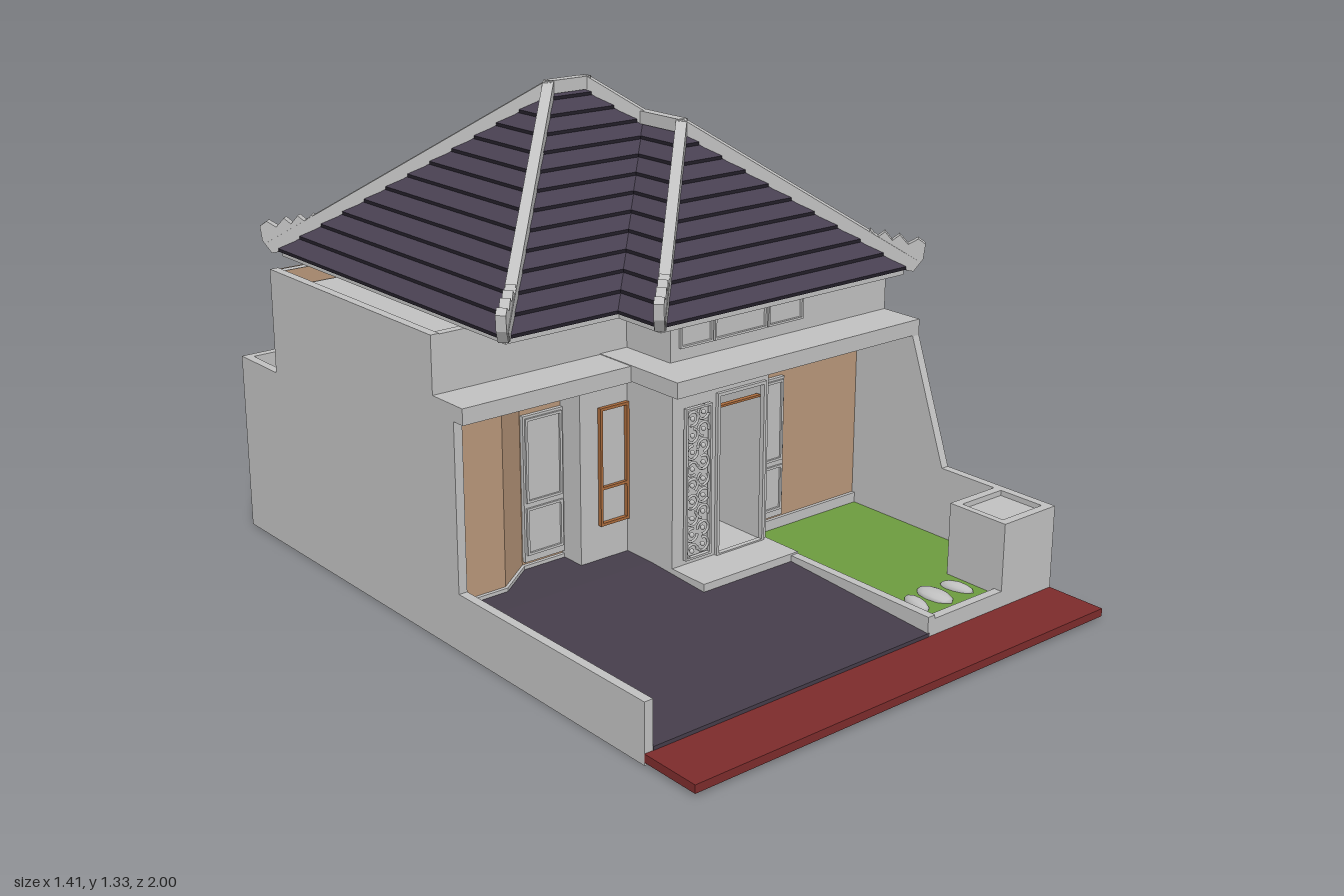
import * as THREE from 'three';

const mat = (name, color, double) => {
  const m = new THREE.MeshStandardMaterial({ color });
  m.name = name;
  if (double) m.side = THREE.DoubleSide;
  return m;
};

export function createModel() {
  const house = new THREE.Group();
  house.name = 'house';
  const white = mat('pale grey plaster', 0xc0c0c0), tan = mat('tan paint', 0xb8977a);
  const tile = mat('roof tile', 0x484051, true), tileEdge = mat('tile edge', 0x221e28, true);
  const floor = mat('dark paving', 0x453d4a), red = mat('red paving', 0x7c2b2b);
  const green = mat('lawn', 0x6c9a3e), pale = mat('back lawn', 0xa3b666);
  const wood = mat('wood', 0xa86a3c), dark = mat('dark plastic', 0x45484a, true);

  const add = (name, geo, m, parent = house) => {
    const mesh = new THREE.Mesh(geo, m);
    mesh.name = name;
    parent.add(mesh);
    return mesh;
  };
  // box from min and max corners
  const box = (name, m, x0, x1, y0, y1, z0, z1, parent) => {
    const g = new THREE.BoxGeometry(x1 - x0, y1 - y0, z1 - z0);
    g.translate((x0 + x1) / 2, (y0 + y1) / 2, (z0 + z1) / 2);
    return add(name, g, m, parent);
  };
  const shapeOf = (pts) => new THREE.Shape(pts.map(([a, b]) => new THREE.Vector2(a, b)));
  const flip = (pts) => pts.map(([x, z]) => [x, -z]);
  // floor plan [x, z] raised from y0 to y1
  const plan = (name, m, pts, y0, y1, hole) => {
    const s = shapeOf(flip(pts));
    if (hole) s.holes.push(shapeOf(flip(hole)));
    const g = new THREE.ExtrudeGeometry(s, { depth: y1 - y0, bevelEnabled: false });
    g.rotateX(-Math.PI / 2).translate(0, y0, 0);
    return add(name, g, m);
  };
  // side profile [z, y] with its outer right face at x1
  const side = (name, m, pts, x1, width) => {
    const g = new THREE.ExtrudeGeometry(shapeOf(pts), { depth: width, bevelEnabled: false });
    g.rotateY(-Math.PI / 2).translate(x1, 0, 0);
    return add(name, g, m);
  };
  // four thin bars round a rectangle facing z
  const frame = (name, m, x0, x1, y0, y1, z, w = 0.01, d = 0.012) => {
    box(name, m, x0, x0 + w, y0, y1, z, z + d);
    box(name, m, x1 - w, x1, y0, y1, z, z + d);
    box(name, m, x0 + w, x1 - w, y0, y0 + w, z, z + d);
    box(name, m, x0 + w, x1 - w, y1 - w, y1, z, z + d);
  };

  // ground and yard
  box('baseSlab', white, -0.705, 0.705, 0, 0.035, -1, 0.825);
  box('redKerb', red, -0.705, 0.705, 0.008, 0.03, 0.825, 1);
  side('carportFloor', floor, [[-0.1, 0.03], [0.826, 0.03], [0.826, 0.04], [0.1, 0.08], [-0.1, 0.08]], 0.23, 0.91);
  box('porch', white, -0.09, 0.25, 0.03, 0.09, -0.16, 0.32);
  box('backLawn', pale, -0.68, 0.68, 0.035, 0.06, -0.975, -0.8);

  // boundary walls
  side('rightWall', white, [[-1, 0], [0.825, 0], [0.825, 0.265], [0.445, 0.265], [0.315, 0.62], [0.315, 0.665],
    [0.18, 0.665], [0.18, 0.82], [-0.785, 0.82], [-0.785, 0.52], [-1, 0.52]], 0.705, 0.025);
  side('leftWall', white, [[-1, 0], [0.825, 0], [0.825, 0.16], [0.09, 0.16], [0.09, 0.64], [0, 0.64],
    [0, 0.82], [-0.8, 0.82], [-0.8, 0.52], [-1, 0.52]], -0.68, 0.025);
  box('backWall', white, -0.68, 0.68, 0, 0.52, -1, -0.975);

  // front garden
  box('gardenLawn', green, 0.25, 0.68, 0.03, 0.06, 0.1, 0.8);
  box('gardenSideKerb', white, 0.225, 0.25, 0.02, 0.085, 0.19, 0.825);
  box('gardenFrontKerb', white, 0.25, 0.53, 0.02, 0.075, 0.8, 0.825);
  box('meterBox', white, 0.525, 0.685, 0.02, 0.25, 0.635, 0.825);
  box('meterBoxRim', white, 0.505, 0.685, 0.25, 0.265, 0.635, 0.66);
  box('meterBoxRim', white, 0.505, 0.525, 0.02, 0.265, 0.635, 0.825);
  box('meterBoxRim', white, 0.525, 0.685, 0.25, 0.265, 0.8, 0.825);
  for (const [x, z, rx, rz] of [[0.3, 0.715, 0.022, 0.05], [0.375, 0.71, 0.033, 0.06], [0.455, 0.715, 0.022, 0.05]]) {
    const stone = add('steppingStone', new THREE.IcosahedronGeometry(1, 1), white);
    stone.scale.set(rx, 0.018, rz);
    stone.position.set(x, 0.06, z);
    stone.rotation.y = (x - 0.375) * 3;
  }

  // ground floor walls, with the doorway cut into the middle block
  plan('middleWalls', white, [[-0.25, -0.79], [0.25, -0.79], [0.25, 0.19], [0.23, 0.19], [0.23, -0.15], [0.02, -0.15],
    [0.02, 0.16], [0.065, 0.16], [0.065, 0.19], [-0.09, 0.19], [-0.09, 0], [-0.25, 0]], 0.035, 0.63);
  plan('leftRoomWalls', tan, [[-0.68, -0.79], [-0.25, -0.79], [-0.25, -0.085], [-0.385, -0.085], [-0.5, 0], [-0.68, 0]], 0.035, 0.63);
  box('rightRoomWalls', tan, 0.25, 0.68, 0.035, 0.63, -0.79, 0.1);
  box('rightPlinth', white, 0.25, 0.68, 0.035, 0.09, 0.09, 0.11);
  plan('leftPlinth', white, [[-0.68, -0.1], [-0.25, -0.1], [-0.25, -0.075], [-0.385, -0.075], [-0.5, 0.01], [-0.68, 0.01]], 0.035, 0.09);
  box('rearWall', tan, -0.68, 0.68, 0.035, 0.815, -0.805, -0.78);

  // upper storey parapet, flat deck and canopies
  const L = (o) => [[-0.705 + o, -0.79 + o], [0.705 - o, -0.79 + o], [0.705 - o, 0.18 - o],
    [-0.09 + o, 0.18 - o], [-0.09 + o, -o], [-0.705 + o, -o]];
  plan('parapet', white, L(0), 0.62, 0.818, L(0.025));
  plan('flatDeck', white, L(0.02), 0.625, 0.77);
  box('leftCanopy', white, -0.705, -0.09, 0.62, 0.664, -0.1, 0.13);
  box('rightCanopy', white, -0.18, 0.705, 0.622, 0.666, 0, 0.315);
  for (const [a, b] of [[-0.06, 0.052], [0.058, 0.245], [0.25, 0.378]]) {
    frame('clerestoryFrame', white, a, b, 0.7, 0.775, 0.18, 0.006, 0.008);
  }

  // front windows and door
  for (const [x, z] of [[-0.383, -0.085], [0.252, 0.1]]) {
    box('windowPanel', white, x, x + 0.131, 0.1, 0.515, z, z + 0.012);
    frame('lowerPane', white, x + 0.006, x + 0.125, 0.12, 0.255, z + 0.012, 0.007, 0.006);
    frame('upperPane', white, x + 0.006, x + 0.125, 0.27, 0.508, z + 0.012, 0.007, 0.006);
  }
  frame('sideWindowFrame', wood, -0.19, -0.092, 0.18, 0.517, 0, 0.008);
  box('sideWindowBar', wood, -0.182, -0.1, 0.283, 0.291, 0, 0.01);
  box('doorLintel', white, 0.065, 0.23, 0.545, 0.63, 0.15, 0.19);
  frame('doorFrame', white, 0.06, 0.235, 0.085, 0.555, 0.185, 0.009, 0.015);
  box('doorTransom', wood, 0.069, 0.226, 0.507, 0.513, 0.17, 0.185);
  box('roomShelf', white, 0.06, 0.18, 0.455, 0.475, -0.15, -0.11);
  box('roomPost', wood, 0.093, 0.099, 0.09, 0.455, -0.15, -0.14);
  box('roomCabinet', white, 0.19, 0.23, 0.09, 0.375, -0.15, -0.05);

  // chair inside the doorway
  const chair = new THREE.Group();
  chair.name = 'chair';
  chair.position.set(0.11, 0.09, 0.06);
  house.add(chair);
  const curve = new THREE.CatmullRomCurve3([[-0.045, 0.078], [-0.02, 0.066], [0.02, 0.07], [0.036, 0.1], [0.045, 0.16]]
    .map(([x, y]) => new THREE.Vector3(x, y, 0)));
  const seat = add('seatShell', new THREE.TubeGeometry(curve, 16, 0.006, 8), dark, chair);
  seat.scale.z = 6;
  for (const sx of [-1, 1]) for (const sz of [-1, 1]) {
    const leg = add('chairLeg', new THREE.CylinderGeometry(0.003, 0.002, 0.07, 6), wood, chair);
    leg.position.set(sx * 0.025, 0.035, sz * 0.022);
    leg.rotation.set(-sz * 0.2, 0, sx * 0.25);
  }

  // carved screen: a frame filled with scrolls
  frame('screenFrame', white, -0.06, 0.03, 0.11, 0.54, 0.2, 0.006, 0.012);
  for (let i = 0; i < 9; i++) for (const s of [-1, 1]) {
    const y = 0.137 + i * 0.047 + s * 0.006;
    const scroll = add('screenScroll', new THREE.TorusGeometry(0.019, 0.004, 5, 16, 5), white);
    scroll.position.set(-0.015 + s * 0.019, y, 0.205);
    scroll.rotation.z = i * 1.3 + (s > 0 ? Math.PI : 0);
    add('screenBud', new THREE.SphereGeometry(0.007, 8, 6), white).position.copy(scroll.position);
  }

  // rear window, door and door canopy
  for (const [a, b] of [[-0.06, 0.092], [0.098, 0.25]]) {
    box('rearPane', white, a, b, 0.69, 0.775, -0.81, -0.805);
    frame('rearWindowFrame', white, a, b, 0.69, 0.775, -0.817, 0.012);
  }
  box('rearDoor', white, -0.12, 0.08, 0.06, 0.46, -0.812, -0.805);
  frame('rearDoorFrame', white, -0.13, 0.09, 0.06, 0.47, -0.817, 0.012);
  box('rearCanopy', white, -0.19, 0.15, 0.495, 0.52, -0.92, -0.805);

  // hip roofs: overlapping courses of tiles around a rectangle
  const eave = 0.835, pitch = 0.83, lift = 0.009, course = 0.0445;
  const hipRoof = (name, x0, x1, z0, z1) => {
    const run = Math.min(x1 - x0, z1 - z0) / 2;
    const ring = (d, up) => [[x0 + d, z1 - d], [x1 - d, z1 - d], [x1 - d, z0 + d], [x0 + d, z0 + d]]
      .map(([x, z]) => [x, eave + d * pitch + up, z]);
    const band = (lo, hi, out) => {
      for (let k = 0; k < 4; k++) {
        const n = (k + 1) % 4;
        out.push(...lo[k], ...lo[n], ...hi[n], ...lo[k], ...hi[n], ...hi[k]);
      }
    };
    const tops = [], edges = [];
    for (let d = 0; d < run - 1e-4; d += course) {
      const e = Math.min(d + course, run);
      band(ring(d, lift), ring(e, 0), tops);
      band(ring(d, 0), ring(d, lift), edges);
    }
    for (const [part, pos, m] of [['Tiles', tops, tile], ['TileEdges', edges, tileEdge]]) {
      const g = new THREE.BufferGeometry();
      g.setAttribute('position', new THREE.Float32BufferAttribute(pos, 3));
      g.computeVertexNormals();
      add(name + part, g, m);
    }
  };
  hipRoof('mainRoof', -0.62, 0.62, -0.925, 0.19);
  hipRoof('frontRoof', -0.27, 0.62, -0.7, 0.355);
  box('mainSoffit', white, -0.605, 0.605, 0.818, 0.836, -0.91, 0.175);
  box('frontSoffit', white, -0.255, 0.605, 0.817, 0.835, -0.3, 0.34);

  // ridge and hip caps
  const at = (x, z, inset) => new THREE.Vector3(x, eave + inset * pitch + 0.014, z);
  const cap = (name, a, b) => {
    const m = add(name, new THREE.BoxGeometry(0.03, 0.036, a.distanceTo(b) + 0.012), white);
    m.position.copy(a).lerp(b, 0.5);
    m.lookAt(b);
  };
  const rl = at(-0.0625, -0.3675, 0.5575), rr = at(0.0625, -0.3675, 0.5575);
  const joint = at(0.175, -0.255, 0.445), apex = at(0.175, -0.09, 0.445);
  cap('mainRidgeCap', rl, rr);
  cap('hipCap', rr, joint);
  cap('frontRidgeCap', joint, apex);

  // hips running down to the corners, each ending in a scalloped finial
  const finial = shapeOf([[-0.13, 0.085], [-0.115, 0.108], [-0.095, 0.088], [-0.075, 0.104], [-0.055, 0.08], [-0.035, 0.096],
    [-0.012, 0.07], [0.015, 0.086], [0.035, 0.072], [0.03, 0.03], [0.005, -0.005], [-0.03, 0]]);
  for (const [top, x, z, dx, dz] of [[rl, -0.62, -0.925, -1, -1], [rr, 0.62, -0.925, 1, -1], [rl, -0.62, 0.19, -1, 1],
    [apex, -0.27, 0.355, -1, 1], [apex, 0.62, 0.355, 1, 1]]) {
    cap('hipCap', top, at(x, z, 0));
    const g = new THREE.ExtrudeGeometry(finial, { depth: 0.026, bevelEnabled: false });
    g.translate(0, 0, -0.013);
    const f = add('cornerFinial', g, white);
    f.position.set(x, eave, z);
    f.rotation.y = Math.atan2(-dz, dx);
  }
  return house;
}
